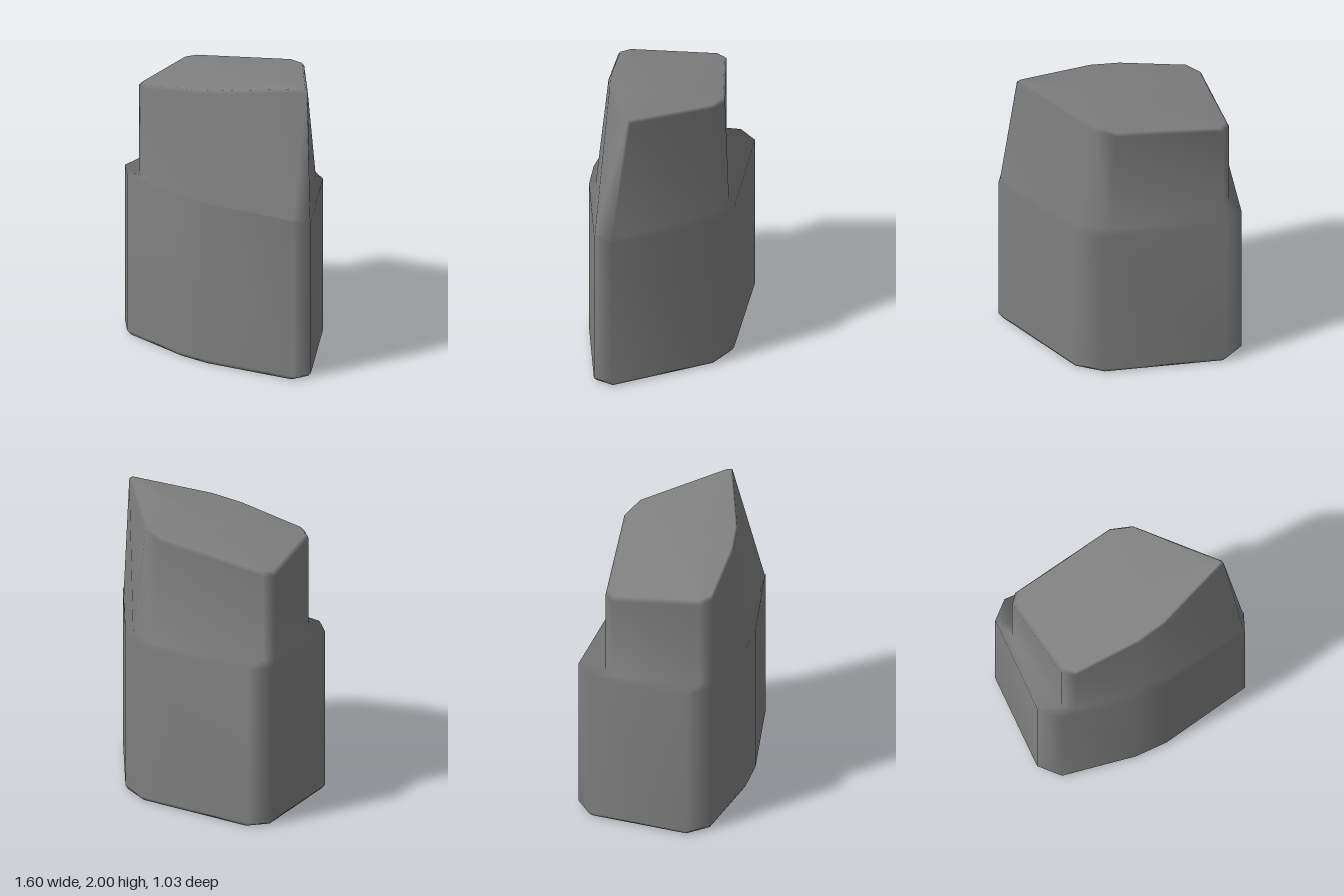
import * as THREE from 'three';

// Ground plan of the wide lower block, as [x, z]
const lower = [[-0.8, -0.27], [-0.7, -0.4], [0.11, -0.52], [0.31, -0.45], [0.8, 0.11],
  [0.77, 0.24], [0.17, 0.47], [-0.05, 0.51], [-0.56, 0.51], [-0.7, 0.4]];
// Foot of the narrower upper block, standing on the ledge
const foot = [[-0.72, -0.14], [-0.68, -0.21], [0.07, -0.47], [0.27, -0.42], [0.79, 0.11],
  [0.765, 0.235], [0.19, 0.42], [-0.02, 0.45], [-0.46, 0.47], [-0.54, 0.42]];
// Outline of the slanted top
const crown = [[-0.72, -0.14], [-0.68, -0.21], [0.03, -0.43], [0.18, -0.4], [0.67, 0.02],
  [0.68, 0.04], [0.2, 0.32], [0, 0.39], [-0.46, 0.47], [-0.54, 0.42]];

const slant = (x) => 1.886 + 0.175 * x;
const inset = (ring, k) => ring.map(([x, z]) => [x * (1 - k), z * (1 - k)]);
const raise = (ring, height) => ring.map(([x, z], i) => [x, height(x, i), z]);

// Joins rings of equal length, from bottom to top, and caps both ends
function loft(rings) {
  const n = rings[0].length;
  const points = rings.flat();
  const index = [];
  const bottom = points.length;
  const top = bottom + 1;
  points.push([0, 0, 0], [0, slant(0), 0]);
  for (let i = 0; i < n; i++) {
    const j = (i + 1) % n;
    for (let r = 0; r < rings.length - 1; r++) {
      const a = r * n, b = a + n;
      index.push(a + i, b + i, b + j, a + i, b + j, a + j);
    }
    const last = (rings.length - 1) * n;
    index.push(bottom, i, j, top, last + j, last + i);
  }
  const geometry = new THREE.BufferGeometry();
  geometry.setAttribute('position', new THREE.Float32BufferAttribute(points.flat(), 3));
  geometry.setIndex(index);
  geometry.computeVertexNormals();
  return geometry;
}

export function createModel() {
  const stone = new THREE.MeshStandardMaterial({ color: 0x808080 });
  stone.name = 'stoneGrey';

  const rock = new THREE.Mesh(loft([
    raise(inset(lower, 0.035), () => 0),                         // bevelled underside
    raise(lower, () => 0.03),
    raise(lower, (x, i) => (i >= 2 && i <= 4 ? 1.11 : 1.14)),    // ledge rim, lower at the back
    raise(foot, () => 1.14),
    raise(crown, (x) => slant(x) - 0.022),                       // bevelled, slanted top
    raise(inset(crown, 0.035), slant),
  ]), stone);
  rock.name = 'rock';

  const model = new THREE.Group();
  model.name = 'steppedRock';
  model.add(rock);
  return model;
}
